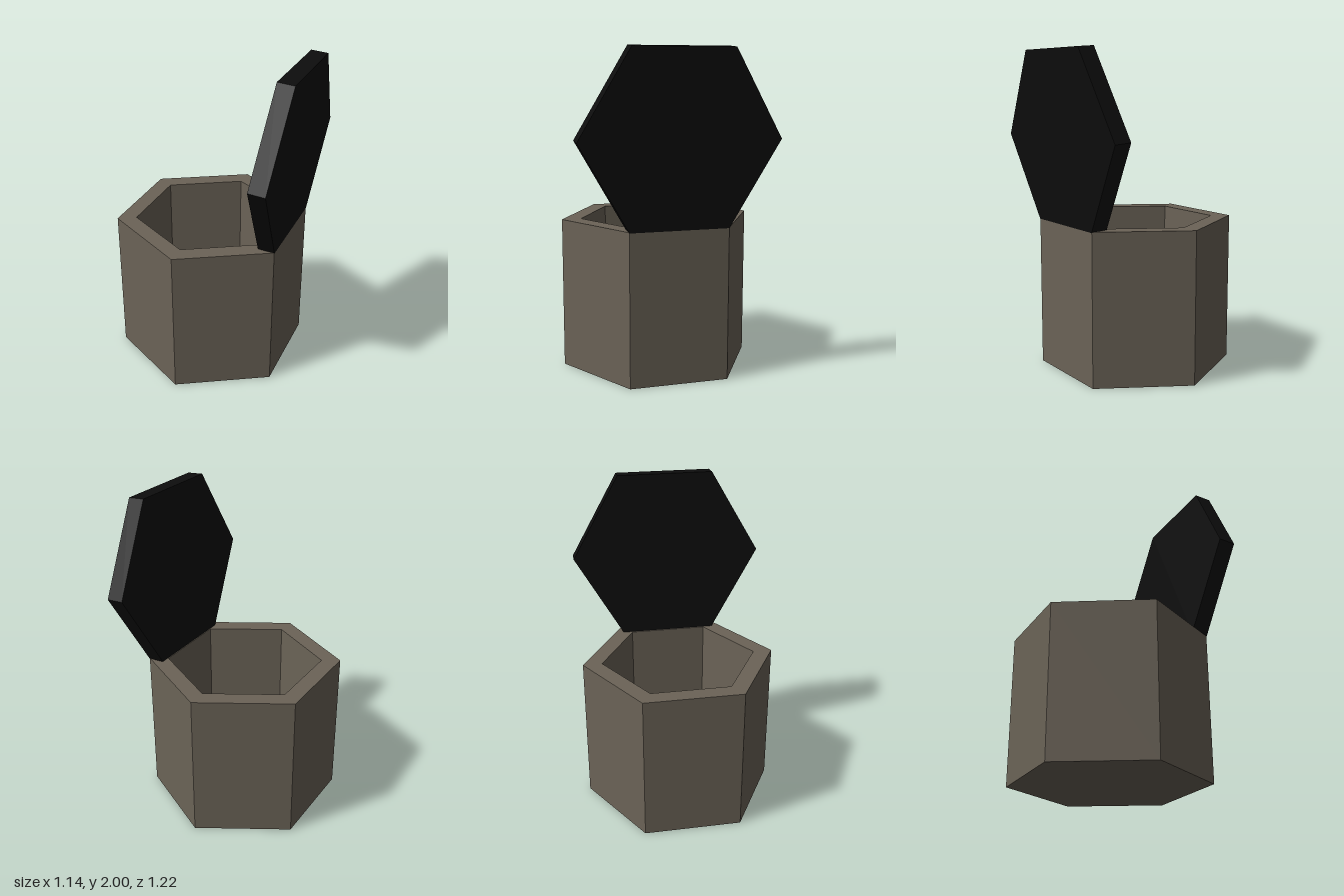
import * as THREE from 'three';

// Split shared vertices so every facet gets its own flat normal
function faceted(geometry) {
  const g = geometry.toNonIndexed();
  g.computeVertexNormals();
  return g;
}

function addPart(group, name, geometry, material) {
  const mesh = new THREE.Mesh(faceted(geometry), material);
  mesh.name = name;
  group.add(mesh);
  return mesh;
}

export function createModel() {
  const model = new THREE.Group();
  model.name = 'hexagonalBox';

  const brown = new THREE.MeshStandardMaterial({ color: 0x6b6357 });
  brown.name = 'greyBrown';
  const black = new THREE.MeshStandardMaterial({ color: 0x0d0d0d });
  black.name = 'black';

  const radius = 0.61, innerRadius = 0.49, height = 0.945, floor = 0.1;

  // Hollow six-sided body: underside, outer wall, rim, inner wall, floor
  const profile = [
    [0, 0], [radius, 0], [radius, height],
    [innerRadius, height], [innerRadius, floor], [0, floor],
  ].map(([x, y]) => new THREE.Vector2(x, y));
  const body = addPart(model, 'body', new THREE.LatheGeometry(profile, 6), brown);
  body.position.x = -0.045;

  // Open lid standing on the left rim, leaning slightly outwards
  const lid = addPart(model, 'lid', new THREE.CylinderGeometry(radius, radius, 0.105, 6), black);
  lid.rotation.z = Math.PI / 2 - 0.076;
  lid.position.set(0.4725, 1.4715, 0);

  return model;
}
